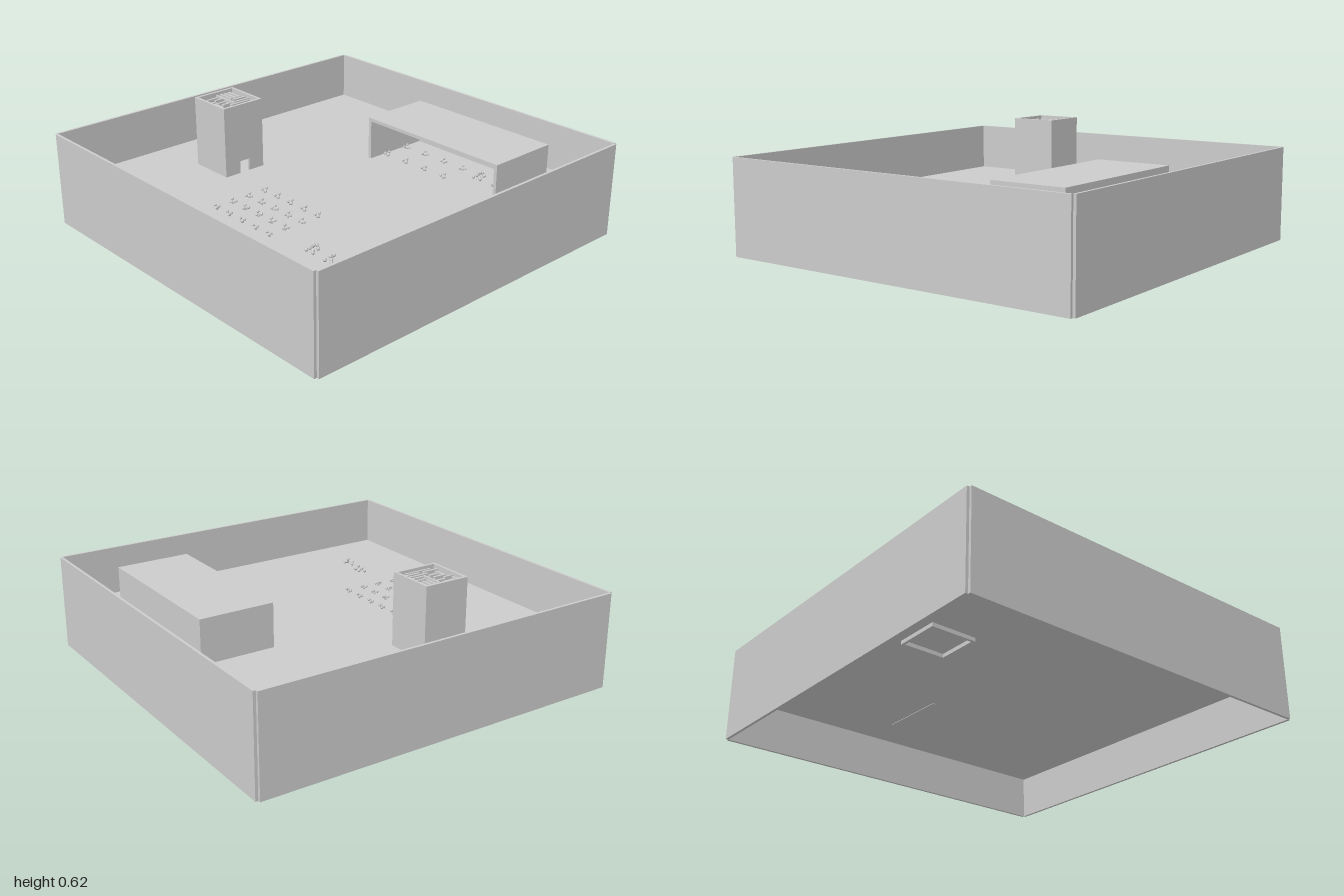
import * as THREE from 'three';

const grey = new THREE.MeshStandardMaterial({ color: 0xcccccc, flatShading: true });

// Box given by its minimum and maximum corners
function box(parent, name, [x0, y0, z0], [x1, y1, z1]) {
  const mesh = new THREE.Mesh(new THREE.BoxGeometry(x1 - x0, y1 - y0, z1 - z0), grey);
  mesh.position.set((x0 + x1) / 2, (y0 + y1) / 2, (z0 + z1) / 2);
  mesh.name = name;
  parent.add(mesh);
  return mesh;
}

function group(parent, name) {
  const g = new THREE.Group();
  g.name = name;
  parent.add(g);
  return g;
}

const FLOOR = 0.24;

// Cluster of small faceted balls, turned about its own axis
function cluster(parent, name, x, z, turn, radius, offsets) {
  const g = group(parent, name);
  const geometry = new THREE.IcosahedronGeometry(radius, 0);
  for (const [dx, dy, dz] of offsets) {
    const ball = new THREE.Mesh(geometry, grey);
    ball.position.set(dx, dy, dz);
    ball.name = 'ball';
    g.add(ball);
  }
  g.position.set(x, FLOOR + 0.014, z);
  g.rotation.y = turn;
}

const trio = [[0, 0.004, 0], [0.013, 0.01, 0.006], [-0.013, 0.012, 0.004], [0.002, 0.02, -0.01]];
const ringCluster = [
  [0, 0.02, -0.022], [0.018, 0.012, -0.014], [-0.018, 0.012, -0.014], [0.004, 0.03, 0],
  [0.022, 0.004, 0.022], [-0.022, 0.004, 0.022], [-0.006, 0.016, 0.016], [0.008, 0.004, 0.008],
];
const branchCluster = [
  [-0.004, 0.022, -0.026], [0, 0.02, -0.01], [-0.018, 0.006, 0.016], [-0.008, 0.014, 0.024],
  [0.014, 0.016, 0.006], [0.026, 0.008, 0.016], [0.006, 0.03, 0.004],
];

export function createModel() {
  const model = new THREE.Group();
  model.name = 'walledYard';

  // Outer walls and raised floor
  const I = 0.986, H = 0.495;
  const walls = group(model, 'outerWalls');
  box(walls, 'frontWall', [-I, 0, I], [I, H, 1]);
  box(walls, 'backWall', [-I, 0, -1], [I, H, -I]);
  box(walls, 'leftWall', [I, 0, -I], [1, H, I]);
  box(walls, 'rightWall', [-1, 0, -I], [-I, H, I]);
  box(model, 'floor', [-I, FLOOR - 0.005, -I], [I, FLOOR, I]);

  // Shelter, open to the front
  const shelter = group(model, 'shelter');
  const [sx0, sx1, sz0, sz1, top, t] = [-0.145, 0.74, -0.785, -0.39, 0.47, 0.018];
  box(shelter, 'roof', [sx0, top - t, sz0], [sx1, top, sz1]);
  box(shelter, 'backPanel', [sx0, FLOOR, sz0], [sx1, top - t, sz0 + t]);
  box(shelter, 'rightPanel', [sx0, FLOOR - 0.008, sz0 + t], [sx0 + t, top - t, sz1]);
  box(shelter, 'leftPanel', [sx1 - t, FLOOR, sz0 + t], [sx1, top - t, sz1]);

  // Hollow tower with a low doorway in its left side
  const tower = group(model, 'tower');
  const [x0, x1, z0, z1, y0, y1, w] = [-0.69, -0.443, 0.098, 0.343, 0.215, 0.615, 0.014];
  box(tower, 'towerFront', [x0, y0, z1 - w], [x1, y1, z1]);
  box(tower, 'towerBack', [x0, y0, z0], [x1, y1, z0 + w]);
  box(tower, 'towerRight', [x0, y0, z0 + w], [x0 + w, y1, z1 - w]);
  box(tower, 'doorLintel', [x1 - w, 0.305, z0 + w], [x1, y1, z1 - w]);
  box(tower, 'doorJamb', [x1 - w, y0, z0 + w], [x1, 0.305, 0.19]);
  box(tower, 'doorJamb', [x1 - w, y0, 0.25], [x1, 0.305, z1 - w]);
  box(tower, 'doorSill', [x1 - w, y0, 0.19], [x1, FLOOR, 0.25]);

  // Maze partitions inside the tower: x0, z0, x1, z1
  const partitions = [
    [-0.676, 0.13, -0.58, 0.142], [-0.676, 0.155, -0.58, 0.167], [-0.676, 0.18, -0.58, 0.192],
    [-0.57, 0.112, -0.558, 0.19], [-0.54, 0.112, -0.528, 0.2], [-0.515, 0.13, -0.503, 0.25],
    [-0.49, 0.112, -0.478, 0.22], [-0.49, 0.24, -0.478, 0.329], [-0.468, 0.15, -0.458, 0.3],
    [-0.676, 0.207, -0.525, 0.219], [-0.65, 0.235, -0.638, 0.3], [-0.62, 0.219, -0.608, 0.27],
    [-0.6, 0.28, -0.588, 0.329], [-0.575, 0.24, -0.563, 0.31], [-0.545, 0.235, -0.53, 0.28],
    [-0.563, 0.295, -0.505, 0.307], [-0.676, 0.312, -0.612, 0.322],
  ];
  for (const [a, b, c, d] of partitions) box(tower, 'partition', [a, 0.32, b], [c, 0.6, d]);
  box(tower, 'mazeFloor', [x0 + w, 0.308, z0 + w], [x1 - w, 0.32, z1 - w]);

  // Five by five field of small clusters
  const field = group(model, 'clusterField');
  for (let i = 0; i < 5; i++)
    for (let j = 0; j < 5; j++)
      cluster(field, 'smallCluster', -0.145 + 0.0995 * i, 0.33 + 0.0995 * j, j * 0.7, 0.0085, trio);

  // Two rows of small clusters under the shelter
  for (let i = 0; i < 4; i++)
    for (let j = 0; j < 2; j++)
      cluster(field, 'shelteredCluster', -0.07 + 0.135 * i, -0.46 - 0.15 * j, j * 0.7, 0.0085, trio);

  // Pairs of larger clusters, in the open and under the shelter
  for (const [x, z] of [[0.5, 0.575], [0.46, -0.6]]) {
    cluster(model, 'ringCluster', x, z, 0, 0.01, ringCluster);
    cluster(model, 'branchCluster', x + 0.13, z + 0.015, 0, 0.01, branchCluster);
  }
  return model;
}
